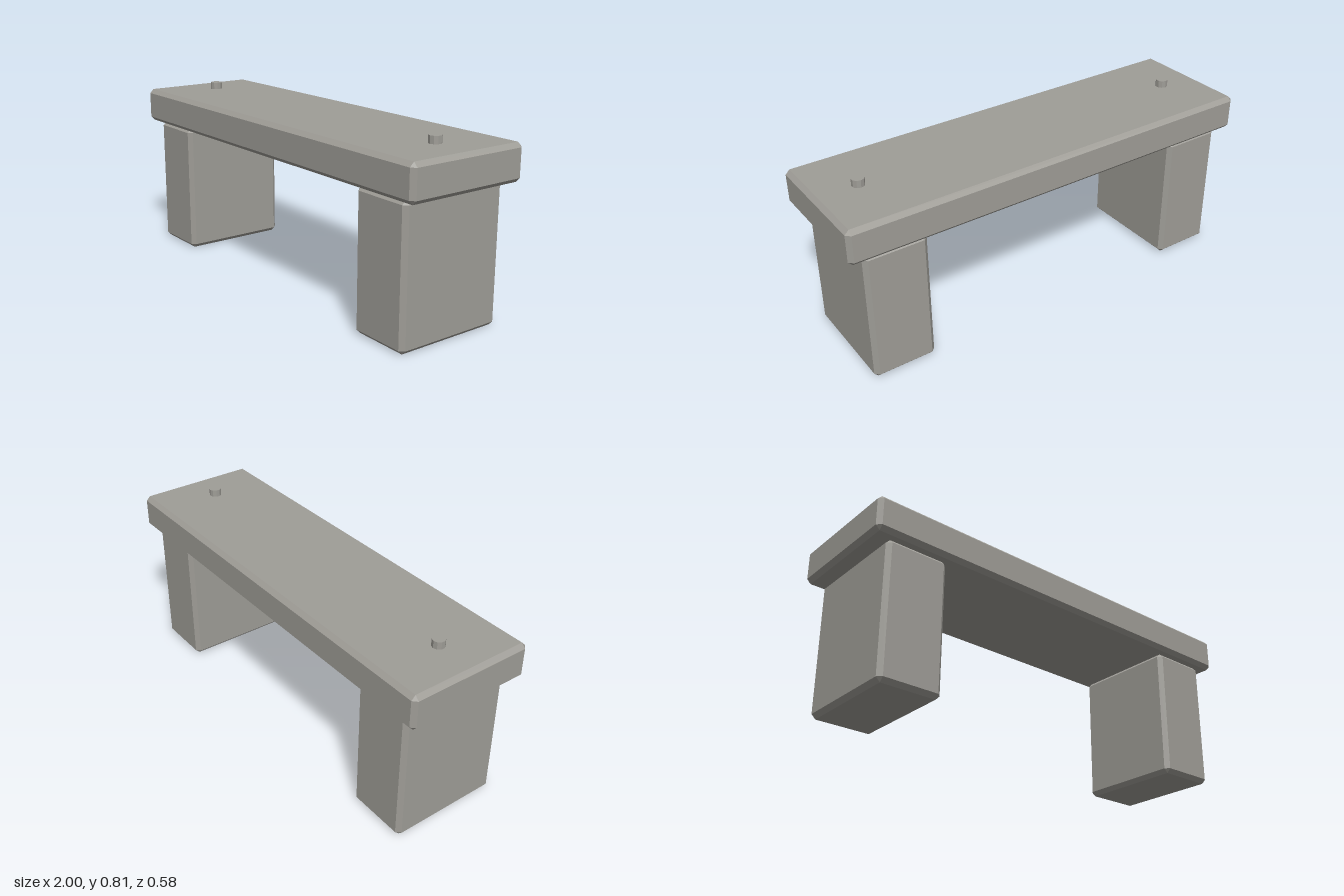
import * as THREE from 'three';
import { ConvexGeometry } from 'three/addons/geometries/ConvexGeometry.js';

// Box with all twelve edges cut at 45 degrees, sitting on y = 0
function chamferedBox(width, height, depth, cut) {
  const points = [];
  for (const sx of [-1, 1]) for (const sy of [-1, 1]) for (const sz of [-1, 1]) {
    for (let axis = 0; axis < 3; axis++) {
      const inset = [0, 1, 2].map((i) => (i === axis ? 0 : cut));
      points.push(new THREE.Vector3(
        sx * (width / 2 - inset[0]),
        sy * (height / 2 - inset[1]) + height / 2,
        sz * (depth / 2 - inset[2]),
      ));
    }
  }
  return new ConvexGeometry(points);
}

export function createModel() {
  const model = new THREE.Group();
  model.name = 'stoneBench';
  const stone = new THREE.MeshStandardMaterial({ color: 0x9f9d97 });
  stone.name = 'grey stone';
  stone.flatShading = true;

  const add = (name, geometry, x, y) => {
    const mesh = new THREE.Mesh(geometry, stone);
    mesh.name = name;
    mesh.position.set(x, y, 0);
    model.add(mesh);
  };

  // Seat slab
  add('seat', chamferedBox(2, 0.16, 0.58, 0.019), 0, 0.615);

  // Block legs and the dowel pins standing proud of the seat
  const leg = chamferedBox(0.287, 0.615, 0.515, 0.019);
  const pin = new THREE.CylinderGeometry(0.028, 0.028, 0.06, 10);
  for (const [side, s] of [['left', 1], ['right', -1]]) {
    add(side + 'Leg', leg, s * 0.787, 0);
    add(side + 'Pin', pin, s * 0.806, 0.778);
  }
  return model;
}
